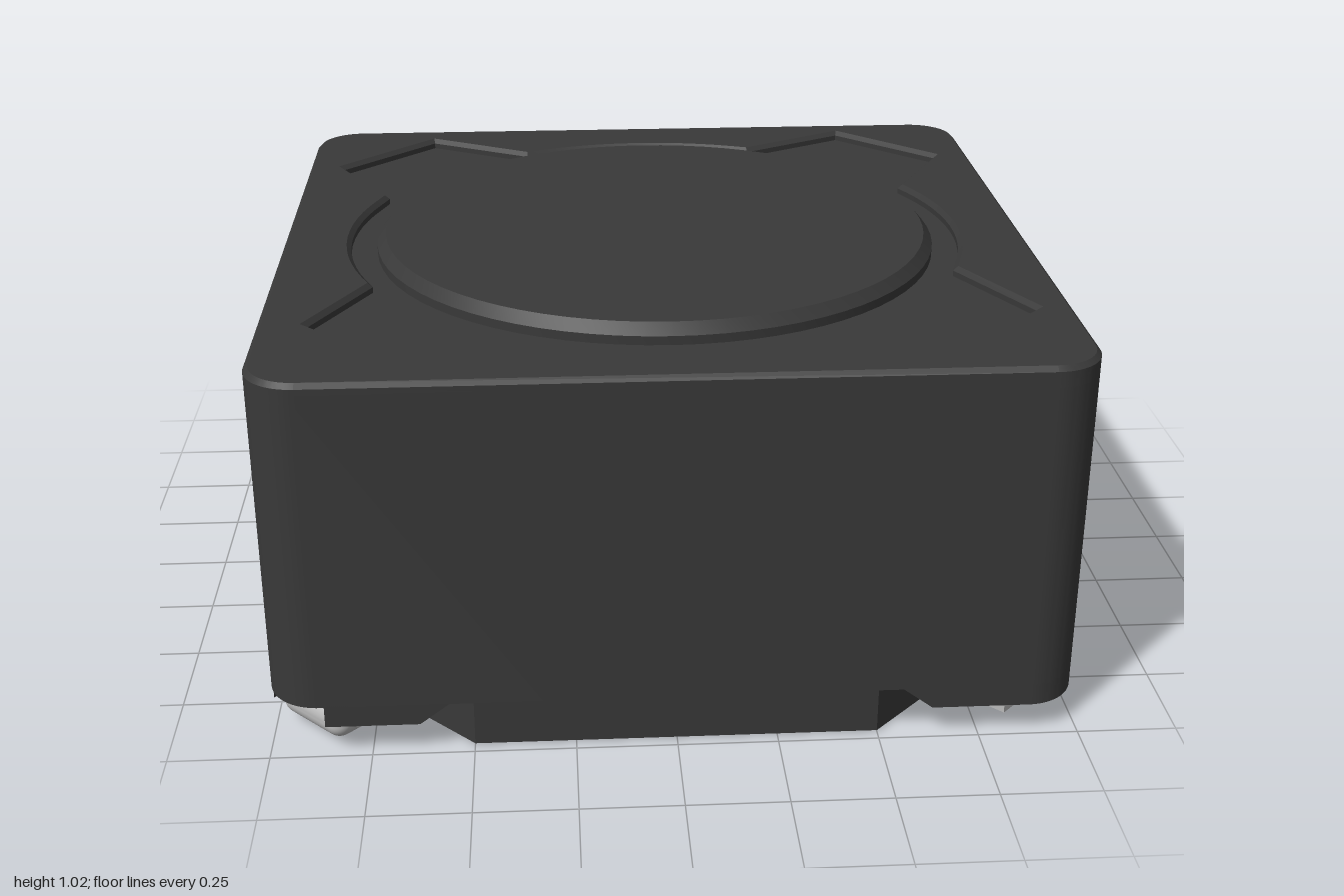
import * as THREE from 'three';
import { toCreasedNormals } from 'three/addons/utils/BufferGeometryUtils.js';
import { RoundedBoxGeometry } from 'three/addons/geometries/RoundedBoxGeometry.js';

const dark = new THREE.MeshStandardMaterial({ color: 0x393939 });
dark.name = 'dark ferrite';
const metal = new THREE.MeshStandardMaterial({ color: 0xb8b8b8 });
metal.name = 'tinned metal';

function add(parent, name, geometry, material) {
  const mesh = new THREE.Mesh(geometry, material);
  mesh.name = name;
  parent.add(mesh);
  return mesh;
}

// Extrudes a plan outline (x, z) downward from the height top
function slab(shape, top, depth, options = {}) {
  const g = new THREE.ExtrudeGeometry(shape, { depth, bevelEnabled: false, curveSegments: 12, ...options });
  g.rotateX(Math.PI / 2).translate(0, top, 0);
  return toCreasedNormals(g, 0.5);
}

const polygon = (points) => new THREE.Shape(points.map(([x, z]) => new THREE.Vector2(x, z)));

function roundedSquare(h, r) {
  const s = new THREE.Shape();
  for (let k = 0; k < 4; k++) s.absarc(...[[1, 1], [-1, 1], [-1, -1], [1, -1]][k].map((v) => v * (h - r)), r, k * Math.PI / 2, (k + 1) * Math.PI / 2);
  s.closePath();
  return s;
}

// Four-lobed pocket: circular arcs joined by a blunt lobe at each corner
function pocketOutline() {
  const lobes = [
    [[0.76, 0.325], [0.91, 0.62], [0.65, 0.875], [0.38, 0.73]],
    [[-0.345, 0.745], [-0.62, 0.89], [-0.88, 0.63], [-0.74, 0.36]],
    [[-0.745, -0.355], [-0.9, -0.64], [-0.64, -0.905], [-0.35, -0.745]],
    [[0.33, -0.755], [0.63, -0.92], [0.895, -0.66], [0.735, -0.37]],
  ];
  const points = [];
  lobes.forEach((lobe, k) => {
    points.push(...lobe);
    const [ex, ez] = lobe[3];
    const [nx, nz] = lobes[(k + 1) % 4][0];
    const a = Math.atan2(ez, ex);
    let b = Math.atan2(nz, nx);
    if (b < a) b += Math.PI * 2;
    for (let i = 1; i < 14; i++) {
      const t = a + (b - a) * i / 14;
      points.push([0.822 * Math.cos(t), 0.822 * Math.sin(t)]);
    }
  });
  return polygon(points);
}

// Foot under the shell; its lower end is drawn in to make a sloping shoulder
function footGeometry(shape) {
  const g = new THREE.ExtrudeGeometry(shape, { depth: 0.06, bevelEnabled: false, curveSegments: 12 });
  g.rotateX(Math.PI / 2).translate(0, 0.145, 0);
  const p = g.attributes.position;
  for (let i = 0; i < p.count; i++) {
    if (p.getY(i) > 0.1) continue;
    if (p.getX(i) < 0.6) p.setX(i, 0.63);
    if (p.getZ(i) < 0.6) p.setZ(i, 0.63);
  }
  return toCreasedNormals(g, 0.5);
}

export function createModel() {
  const model = new THREE.Group();
  model.name = 'powerInductor';

  // Shell with a bevelled, pocketed top
  add(model, 'shellBody', slab(roundedSquare(1, 0.13), 0.967, 0.827), dark);
  const rim = roundedSquare(1, 0.13);
  rim.holes.push(pocketOutline());
  add(model, 'shellRim', slab(rim, 0.982, 0.04, {
    bevelEnabled: true, bevelThickness: 0.012, bevelSize: 0.012, bevelOffset: -0.012, bevelSegments: 1,
  }), dark);

  // Raised core disc with a chamfered edge
  const core = new THREE.LatheGeometry(
    [[0.752, 0.95], [0.752, 0.99], [0.728, 1.018], [0, 1.018]].map(([x, y]) => new THREE.Vector2(x, y)), 72);
  add(model, 'coreTop', toCreasedNormals(core, 0.5), dark);

  // Octagonal base with a fine ring underneath
  const a = 0.5, b = 0.97;
  add(model, 'base', slab(polygon([[b, -a], [b, a], [a, b], [-a, b], [-b, a], [-b, -a], [-a, -b], [a, -b]]), 0.145, 0.141), dark);
  const ring = add(model, 'baseRing', new THREE.TorusGeometry(0.755, 0.005, 6, 72), dark);
  ring.rotation.x = Math.PI / 2;
  ring.position.y = 0.005;

  // Solder pads wrapping the two sides of the base
  for (const s of [-1, 1]) {
    const pad = add(model, s > 0 ? 'leftPad' : 'rightPad', new THREE.BoxGeometry(0.356, 0.142, 0.545), metal);
    pad.position.set(s * 0.798, 0.073, 0);
  }

  // Corner feet and diagonal terminals; alternate corners hold a wrapped wire
  const plainFoot = new THREE.Shape();
  plainFoot.moveTo(0.735, 0.735);
  plainFoot.lineTo(1, 0.55);
  plainFoot.absarc(0.87, 0.87, 0.13, 0, Math.PI / 2);
  plainFoot.lineTo(0.55, 1);
  plainFoot.closePath();
  const halfFoot = [[0.55, 1], [0.86, 1], [0.665, 0.805]];
  for (let k = 0; k < 4; k++) {
    const corner = new THREE.Group();
    corner.name = 'corner' + (k + 1);
    corner.rotation.y = k * Math.PI / 2;
    model.add(corner);
    const wired = k % 2 === 1;
    const shapes = wired ? [polygon(halfFoot), polygon(halfFoot.map(([x, z]) => [z, x]))] : [plainFoot];
    shapes.forEach((s) => add(corner, 'foot', footGeometry(s), dark));

    const terminal = new THREE.Group();
    terminal.name = 'terminal';
    terminal.rotation.y = Math.PI / 4;
    corner.add(terminal);
    const tab = add(terminal, 'tab', wired
      ? new RoundedBoxGeometry(0.2, 0.058, 0.28, 3, 0.025)
      : new THREE.BoxGeometry(0.2, 0.046, 0.26), metal);
    tab.position.set(0, wired ? 0.057 : 0.061, 1.13);
    if (wired) {
      const wire = add(terminal, 'wireEnd', new RoundedBoxGeometry(0.23, 0.082, 0.15, 4, 0.038), metal);
      wire.position.set(0, 0.067, 1.215);
    }
  }
  return model;
}
